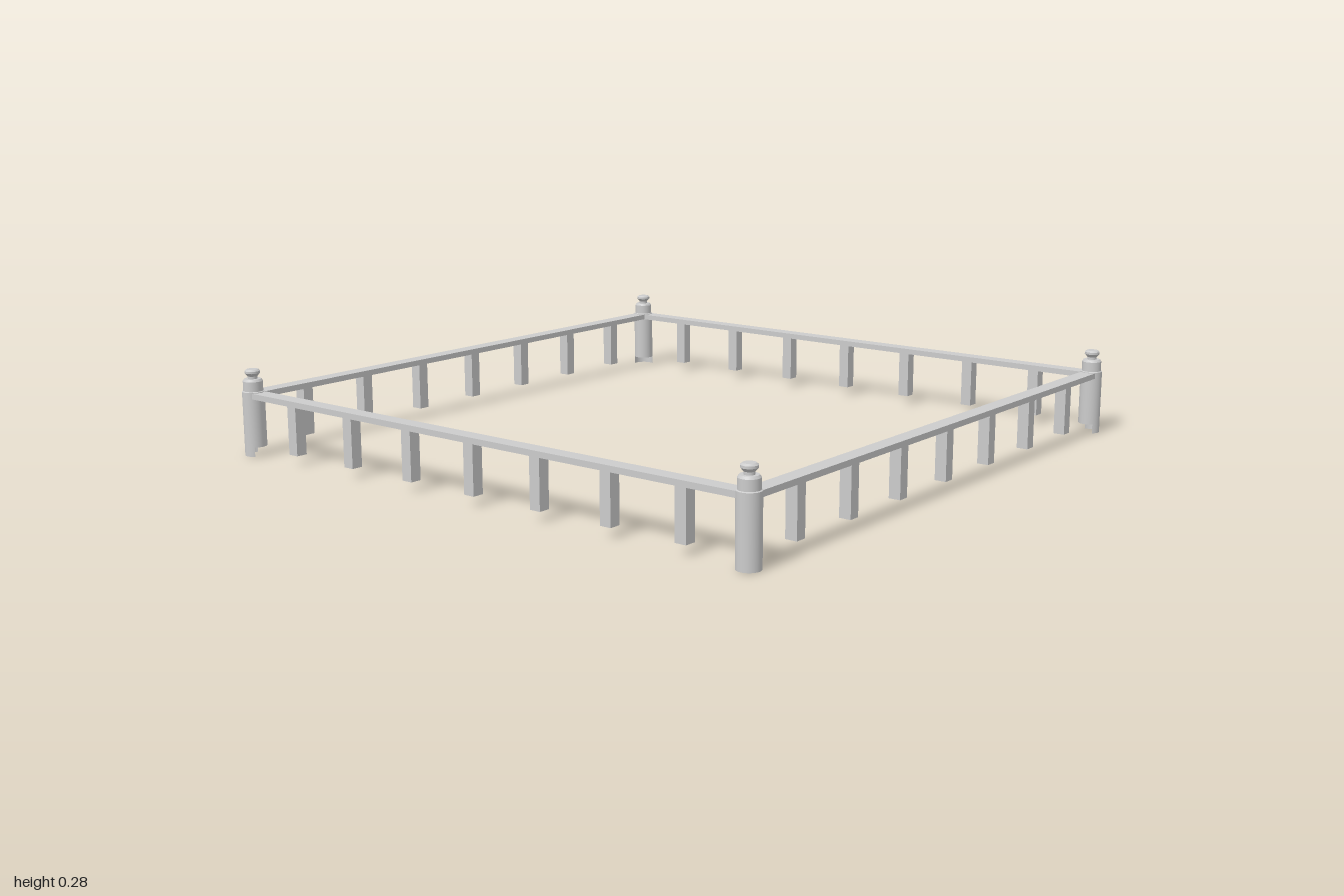
import * as THREE from 'three';

const material = new THREE.MeshStandardMaterial({ color: 0xcccccc, side: THREE.DoubleSide });
const C = 0.962;       // distance of posts and rails from the centre
const R = 0.035;       // post radius
const NOTCH = 0.03;    // height of the cutaway at the inner foot of a post
const SPACING = 0.253; // distance between balusters

function add(parent, name, geometry, x = 0, y = 0, z = 0) {
  const mesh = new THREE.Mesh(geometry, material);
  mesh.name = name;
  mesh.position.set(x, y, z);
  parent.add(mesh);
  return mesh;
}

// Separate lathe bands keep the rims sharp and the round walls smooth
function turned(parent, name, profile) {
  for (let i = 0; i < profile.length - 1; i++) {
    const band = [profile[i], profile[i + 1]].map(([r, y]) => new THREE.Vector2(r, y));
    add(parent, name, new THREE.LatheGeometry(band, 24));
  }
}

// Corner post; the outer half of the foot faces local +z
function createPost() {
  const post = new THREE.Group();
  post.name = 'cornerPost';
  turned(post, 'postShaft', [[R, NOTCH], [R, 0.205], [0.031, 0.207], [0.031, 0.238], [0.026, 0.245], [0.015, 0.245]]);
  turned(post, 'postFinial', [[0.015, 0.245], [0.015, 0.253], [0.024, 0.263], [0.024, 0.27], [0.018, 0.275], [0, 0.275]]);
  add(post, 'postFoot',
    new THREE.CylinderGeometry(R, R, NOTCH, 12, 1, true, -Math.PI / 2, Math.PI), 0, NOTCH / 2, 0);
  return post;
}

// One side of the fence: a flat rail carried by seven balusters
function createSide() {
  const side = new THREE.Group();
  side.name = 'fenceSide';
  add(side, 'rail', new THREE.BoxGeometry(2 * C, 0.018, 0.05), 0, 0.194, C);
  for (let i = -3; i <= 3; i++) {
    add(side, 'baluster', new THREE.BoxGeometry(0.037, 0.155, 0.037), i * SPACING, 0.1085, C);
  }
  return side;
}

export function createModel() {
  const model = new THREE.Group();
  model.name = 'squareFence';
  for (let i = 0; i < 4; i++) {
    const side = createSide();
    side.rotation.y = i * Math.PI / 2;
    model.add(side);

    const angle = Math.PI / 4 + i * Math.PI / 2;
    const post = createPost();
    post.position.set(Math.sin(angle) * C * Math.SQRT2, 0, Math.cos(angle) * C * Math.SQRT2);
    post.rotation.y = angle;
    model.add(post);
  }
  return model;
}
